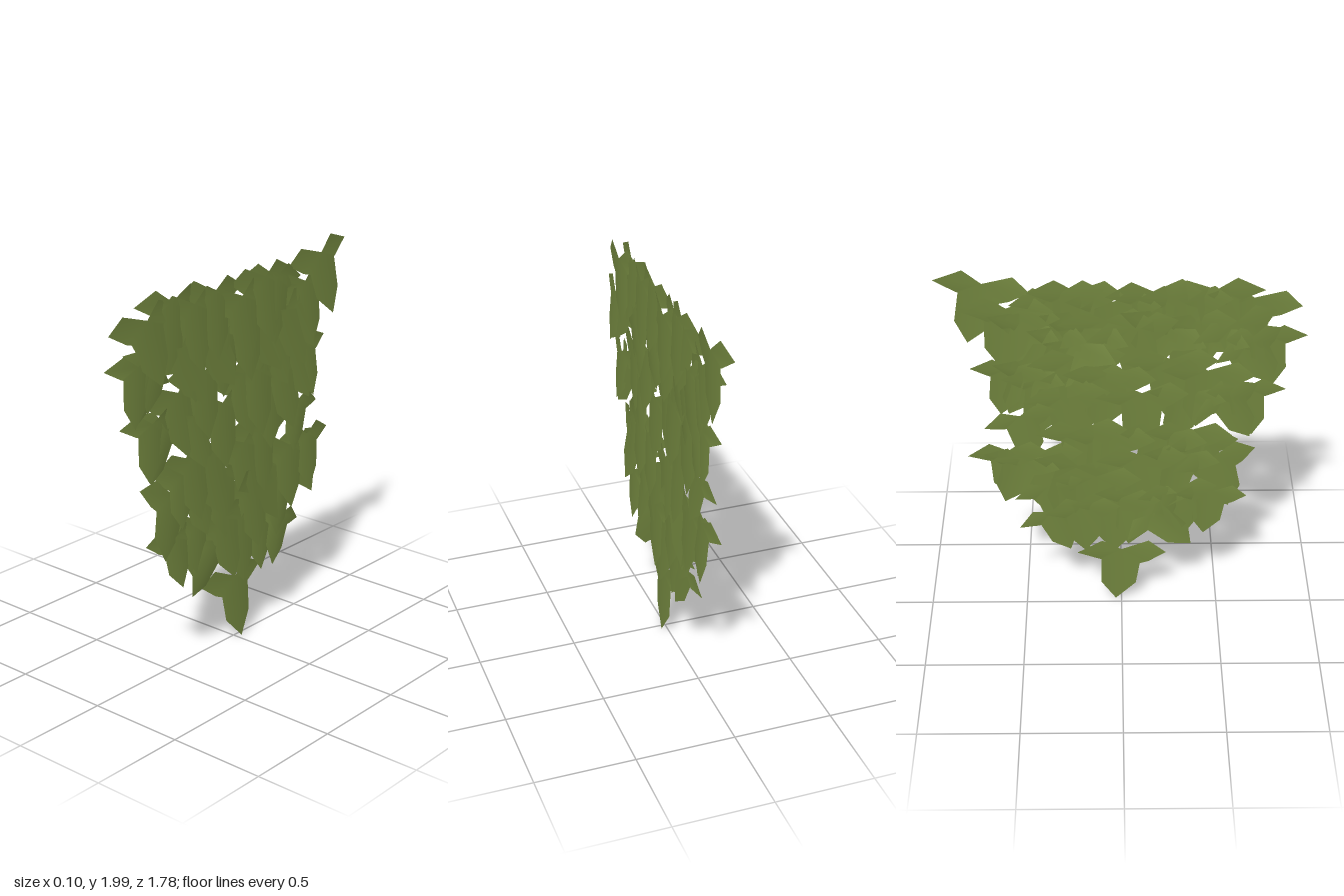
import * as THREE from 'three';

// Half-folded ivy leaf outline: [across, up, height above the wall], counter-clockwise from the stem notch
const OUTLINE = [
  [0, 0, 0.018], [-0.14, 0.065, 0.004], [-0.23, 0, -0.01], [-0.14, -0.07, 0.006], [-0.095, -0.09, 0.012],
  [-0.075, -0.225, 0.022], [0.03, -0.34, 0.036], [0.105, -0.22, 0.02], [0.105, -0.06, 0.012],
  [0.12, -0.055, 0.01], [0.23, 0, -0.01], [0.1, 0.065, 0.005],
];

// Rows of leaves: [across, up, turn in degrees, size (negative is mirrored), outward swing of the left lobe]
const ROWS = {
  bottomRow: [[0, 0.35, 0]],
  lowerRow: [
    [-0.155, 0.57, -50, 0.85], [-0.45, 0.71, 1, 0.8], [-0.28, 0.73, -12, 0.9], [-0.09, 0.7, 4],
    [0.03, 0.66, -4], [0.13, 0.81, 0], [0.2, 0.62, -8, 0.85], [0.36, 0.585, -26, 0.79], [0.37, 0.75, -20, 0.8],
  ],
  middleRow: [
    [-0.46, 0.93, -20, 0.95], [-0.33, 1.08, 2, 0.95], [-0.4, 1.02, -10, 0.8], [-0.3, 0.94, 8, 0.85],
    [-0.1, 0.94, -4], [-0.2, 1.06, 8], [0.06, 1.06, 4], [0.2, 1.1, -4], [0.42, 0.95, -6],
    [0.57, 0.97, -4, 0.86], [0.5, 0.92, 14, 0.85], [0.22, 0.88, 15, 1, 0.05],
  ],
  upperMiddleRow: [
    [-0.607, 1.335, -3, -0.85], [-0.51, 1.28, -33, 0.8], [-0.42, 1.44, 4], [-0.32, 1.3, 8, 0.85],
    [-0.24, 1.5, -2], [-0.1, 1.31, -3], [0.06, 1.42, 4], [0.17, 1.41, -3], [0.27, 1.3, -8, 0.95],
    [0.503, 1.18, -18, 0.81], [0.36, 1.38, 6], [0.45, 1.43, 18, 0.8], [0.547, 1.455, 5, 0.82],
    [0.22, 1.52, -8, 1.05],
  ],
  upperRow: [
    [-0.695, 1.635, -4, -0.86], [-0.61, 1.595, -33, 0.8], [-0.54, 1.7, -25, 0.95], [-0.4, 1.66, 20],
    [-0.32, 1.71, -5], [-0.2, 1.68, 25], [-0.05, 1.68, -15], [0.08, 1.72, -3], [0.24, 1.6, 20, 1, -0.045],
    [0.18, 1.68, 22], [0.38, 1.68, 18], [0.47, 1.69, 21, 0.8], [0.55, 1.79, 1],
  ],
  topRow: [
    [-0.45, 1.89, -3, -1], [-0.63, 1.84, 8], [-0.3, 1.85, 0], [-0.15, 1.88, -4],
    [0.04, 1.82, 3], [0.22, 1.88, 1], [0.31, 1.86, -10], [0.52, 1.77, 5], [0.66, 1.92, 9],
  ],
};

function leafGeometry(turn, size, swing) {
  const c = Math.cos(turn), s = Math.sin(turn);
  const points = [], faces = [];
  for (const [across, up, height] of OUTLINE) {
    const u = across * size, v = up * Math.abs(size);
    points.push(height + swing * Math.max(0, -across / 0.23), u * s + v * c, -(u * c - v * s));
  }
  // mirrored leaves swap two corners so that they still face outward
  for (let i = 1; i < OUTLINE.length - 1; i++) faces.push(0, ...(size > 0 ? [i, i + 1] : [i + 1, i]));
  const geometry = new THREE.BufferGeometry();
  geometry.setAttribute('position', new THREE.Float32BufferAttribute(points, 3));
  geometry.setIndex(faces);
  geometry.computeVertexNormals();
  return geometry;
}

export function createModel() {
  const ivy = new THREE.Group();
  ivy.name = 'ivyPatch';
  const green = new THREE.MeshStandardMaterial({ color: 0x748840, side: THREE.DoubleSide });
  green.name = 'leafGreen';

  let count = 0;
  for (const [name, leaves] of Object.entries(ROWS)) {
    const row = new THREE.Group();
    row.name = name;
    for (const [u, y, degrees, size = 1, swing = 0] of leaves) {
      const leaf = new THREE.Mesh(leafGeometry(THREE.MathUtils.degToRad(degrees), size, swing), green);
      leaf.name = 'leaf';
      // small depth steps keep overlapping leaves apart
      leaf.position.set(((count++ * 5) % 7 - 3) * 0.002, y, -u);
      row.add(leaf);
    }
    ivy.add(row);
  }
  return ivy;
}
